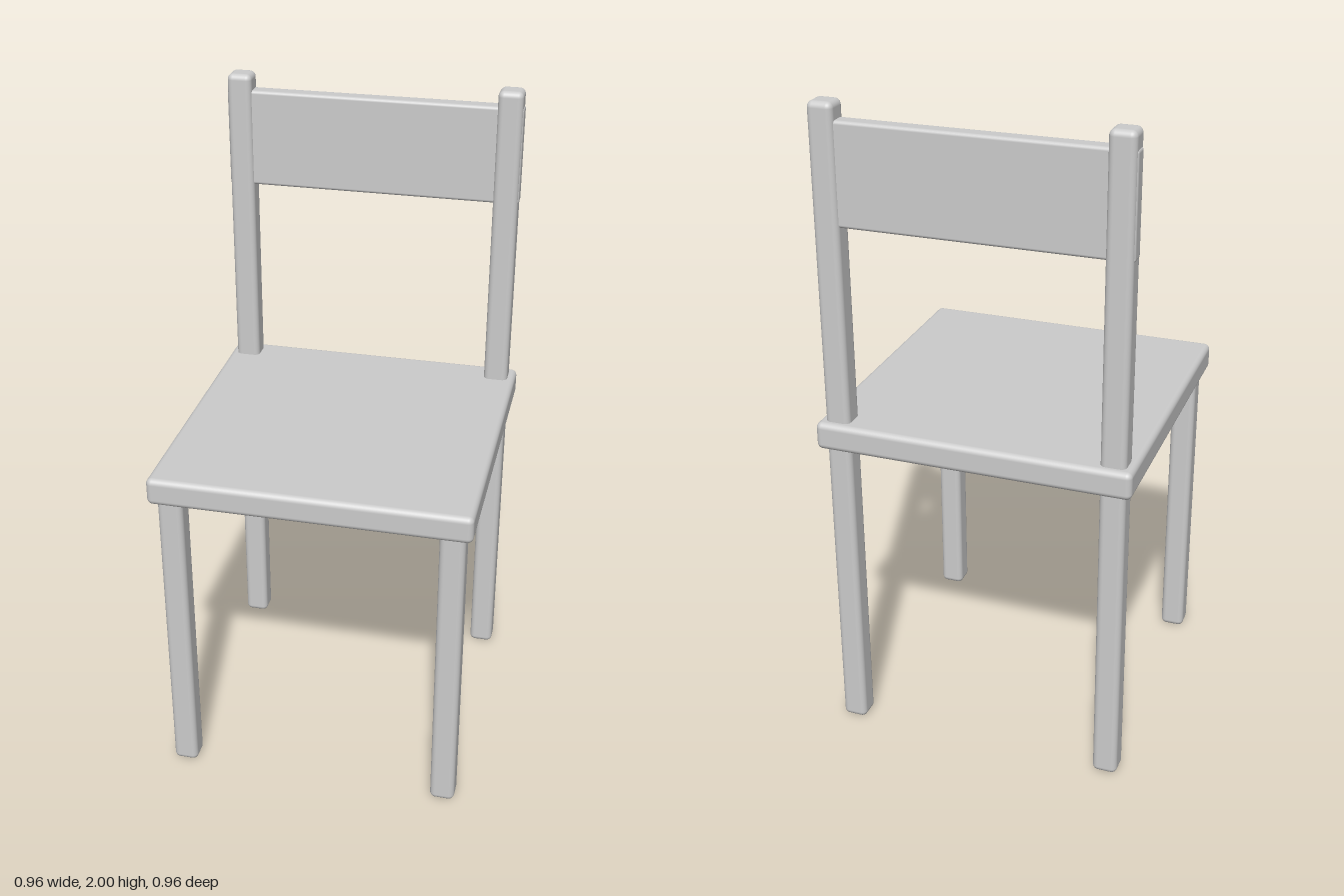
import * as THREE from 'three';
import { RoundedBoxGeometry } from 'three/addons/geometries/RoundedBoxGeometry.js';

export function createModel() {
  const chair = new THREE.Group();
  chair.name = 'chair';
  const material = new THREE.MeshStandardMaterial({ color: 0xcccccc });

  // Rounded bar given by its size, centre x/z and bottom height
  function bar(name, [w, h, d], x, bottom, z, radius) {
    const mesh = new THREE.Mesh(new RoundedBoxGeometry(w, h, d, 4, radius), material);
    mesh.name = name;
    mesh.position.set(x, bottom + h / 2, z);
    chair.add(mesh);
  }

  bar('seat', [0.956, 0.085, 0.956], 0, 0.97, 0, 0.018);

  // Short front legs end inside the seat; back legs run up as backrest posts
  const legWidth = 0.076, legOffset = 0.417;
  for (const [side, s] of [['left', 1], ['right', -1]]) {
    bar(`${side}FrontLeg`, [legWidth, 1.03, legWidth], s * legOffset, 0, legOffset, 0.018);
    bar(`${side}BackLeg`, [legWidth, 2, legWidth], s * legOffset, 0, -legOffset, 0.018);
  }

  // Wide slat whose ends pass just beyond the posts
  bar('backrestSlat', [0.916, 0.3, 0.052], 0, 1.65, -legOffset, 0.01);

  return chair;
}
